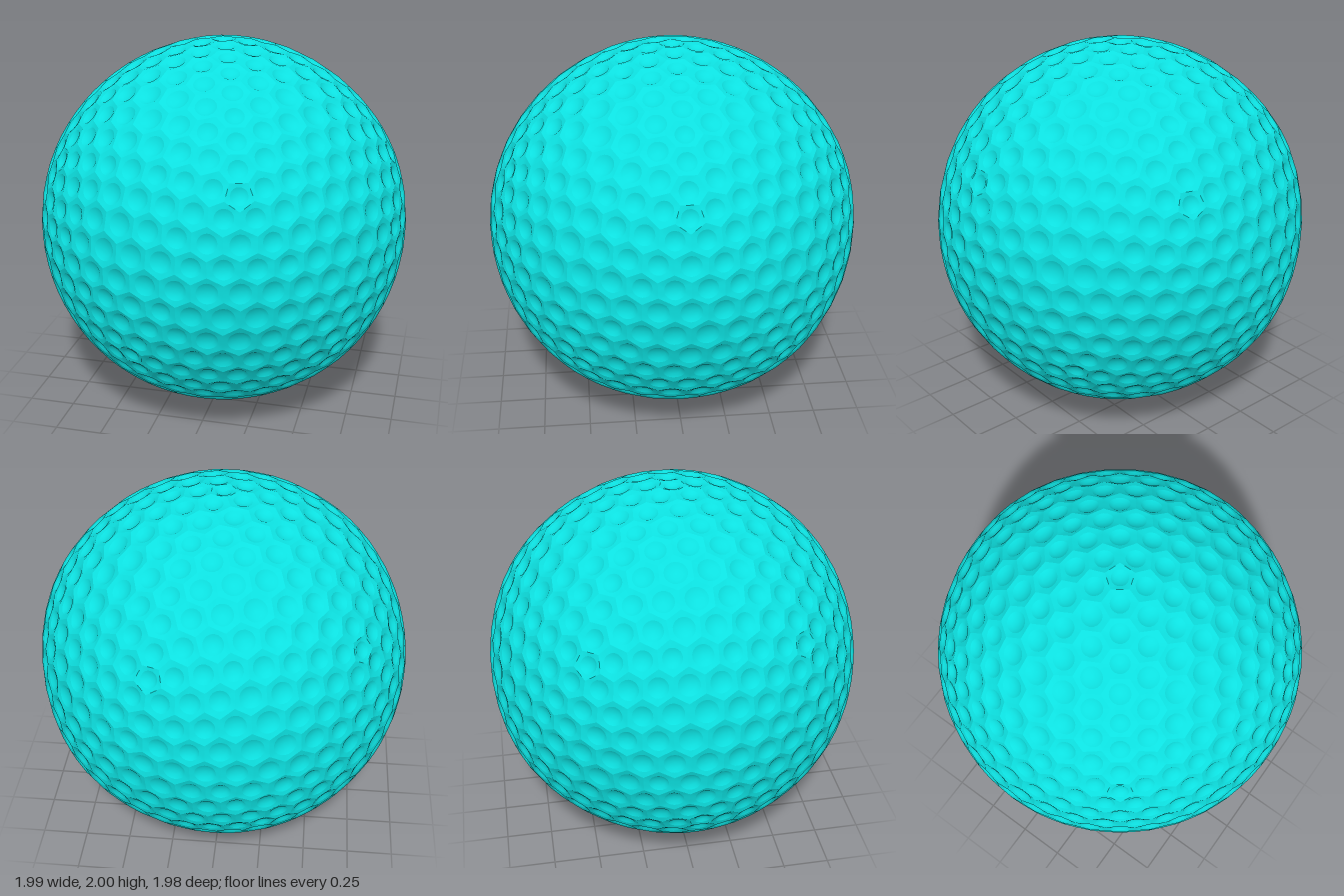
import * as THREE from 'three';

const PER_EDGE = 3; // outline samples on each cell edge

// Icosahedron with vertices at both poles, split into triangles three times
function makeIcosphere(levels) {
  const h = 1 / Math.sqrt(5), r = 2 * h;
  const verts = [new THREE.Vector3(0, 1, 0)];
  for (let i = 0; i < 5; i++) {
    const a = (i * Math.PI * 2) / 5;
    verts.push(new THREE.Vector3(r * Math.cos(a), h, r * Math.sin(a)));
  }
  for (let i = 0; i < 5; i++) {
    const a = ((i + 0.5) * Math.PI * 2) / 5;
    verts.push(new THREE.Vector3(r * Math.cos(a), -h, r * Math.sin(a)));
  }
  verts.push(new THREE.Vector3(0, -1, 0));
  const corners = verts.slice();
  let faces = [];
  for (let i = 0; i < 5; i++) {
    const j = (i + 1) % 5;
    faces.push([0, 1 + i, 1 + j], [1 + i, 6 + i, 1 + j], [1 + j, 6 + i, 6 + j], [11, 6 + i, 6 + j]);
  }
  for (let l = 0; l < levels; l++) {
    const cache = new Map();
    const mid = (a, b) => {
      const key = Math.min(a, b) + '_' + Math.max(a, b);
      if (!cache.has(key)) {
        cache.set(key, verts.length);
        verts.push(verts[a].clone().add(verts[b]).normalize());
      }
      return cache.get(key);
    };
    const next = [];
    for (const [a, b, c] of faces) {
      const ab = mid(a, b), bc = mid(b, c), ca = mid(c, a);
      next.push([a, ab, ca], [b, bc, ab], [c, ca, bc], [ab, bc, ca]);
    }
    faces = next;
  }
  return { verts, faces, corners };
}

function makeDimpledGeometry() {
  const { verts, faces, corners } = makeIcosphere(3);

  // Every triangle centre becomes a corner of the honeycomb ridges
  const cells = verts.map(() => []);
  for (const f of faces) {
    const p = new THREE.Vector3();
    f.forEach((i) => p.add(verts[i]));
    p.normalize();
    const d = Math.min(...corners.map((c) => c.distanceTo(p)));
    p.multiplyScalar(0.9945 + 0.0083 * Math.exp(-((d / 0.3) ** 2)));
    f.forEach((i) => cells[i].push(p));
  }

  const pos = [], index = [];
  const addRing = (points) => {
    const start = pos.length / 3;
    points.forEach((p) => pos.push(p.x, p.y, p.z));
    return start;
  };
  const bridge = (a, b, n) => {
    for (let i = 0; i < n; i++) {
      const j = (i + 1) % n;
      index.push(a + i, a + j, b + j, a + i, b + j, b + i);
    }
  };

  verts.forEach((normal, v) => {
    // Sort the cell corners anticlockwise as seen from outside
    const ref = Math.abs(normal.y) < 0.9 ? new THREE.Vector3(0, 1, 0) : new THREE.Vector3(1, 0, 0);
    const u = new THREE.Vector3().crossVectors(ref, normal).normalize();
    const w = new THREE.Vector3().crossVectors(normal, u);
    const angle = (p) => Math.atan2(p.dot(w), p.dot(u));
    const rim = cells[v].slice().sort((a, b) => angle(a) - angle(b));
    const centre = new THREE.Vector3();
    rim.forEach((p) => centre.addScaledVector(p, 1 / rim.length));

    const outline = [];
    let apothem = 1;
    rim.forEach((p, i) => {
      const q = rim[(i + 1) % rim.length];
      for (let k = 0; k < PER_EDGE; k++) outline.push(p.clone().lerp(q, k / PER_EDGE));
      apothem = Math.min(apothem, p.clone().lerp(q, 0.5).distanceTo(centre));
    });
    const circle = (radius, depth) => outline.map((p) =>
      p.clone().sub(centre).setLength(radius * apothem).add(centre).addScaledVector(normal, -depth));

    // Sloping band from the ridge to the round edge, then the bowl
    const n = outline.length;
    bridge(addRing(outline), addRing(circle(0.72, 0.005)), n);
    const edge = addRing(circle(0.72, 0.005));
    const inner = addRing(circle(0.45, 0.016));
    bridge(edge, inner, n);
    const bottom = addRing([centre.clone().addScaledVector(normal, -0.02)]);
    for (let i = 0; i < n; i++) index.push(inner + i, inner + ((i + 1) % n), bottom);
  });

  const geometry = new THREE.BufferGeometry();
  geometry.setAttribute('position', new THREE.Float32BufferAttribute(pos, 3));
  geometry.setIndex(index);
  geometry.computeVertexNormals();
  return geometry;
}

export function createModel() {
  const turquoise = new THREE.MeshStandardMaterial({ color: 0x0ce0e0 });
  turquoise.name = 'turquoise';

  const ball = new THREE.Mesh(makeDimpledGeometry(), turquoise);
  ball.name = 'dimpledBall';
  ball.position.y = 1;

  const group = new THREE.Group();
  group.name = 'golfBall';
  group.add(ball);
  return group;
}
